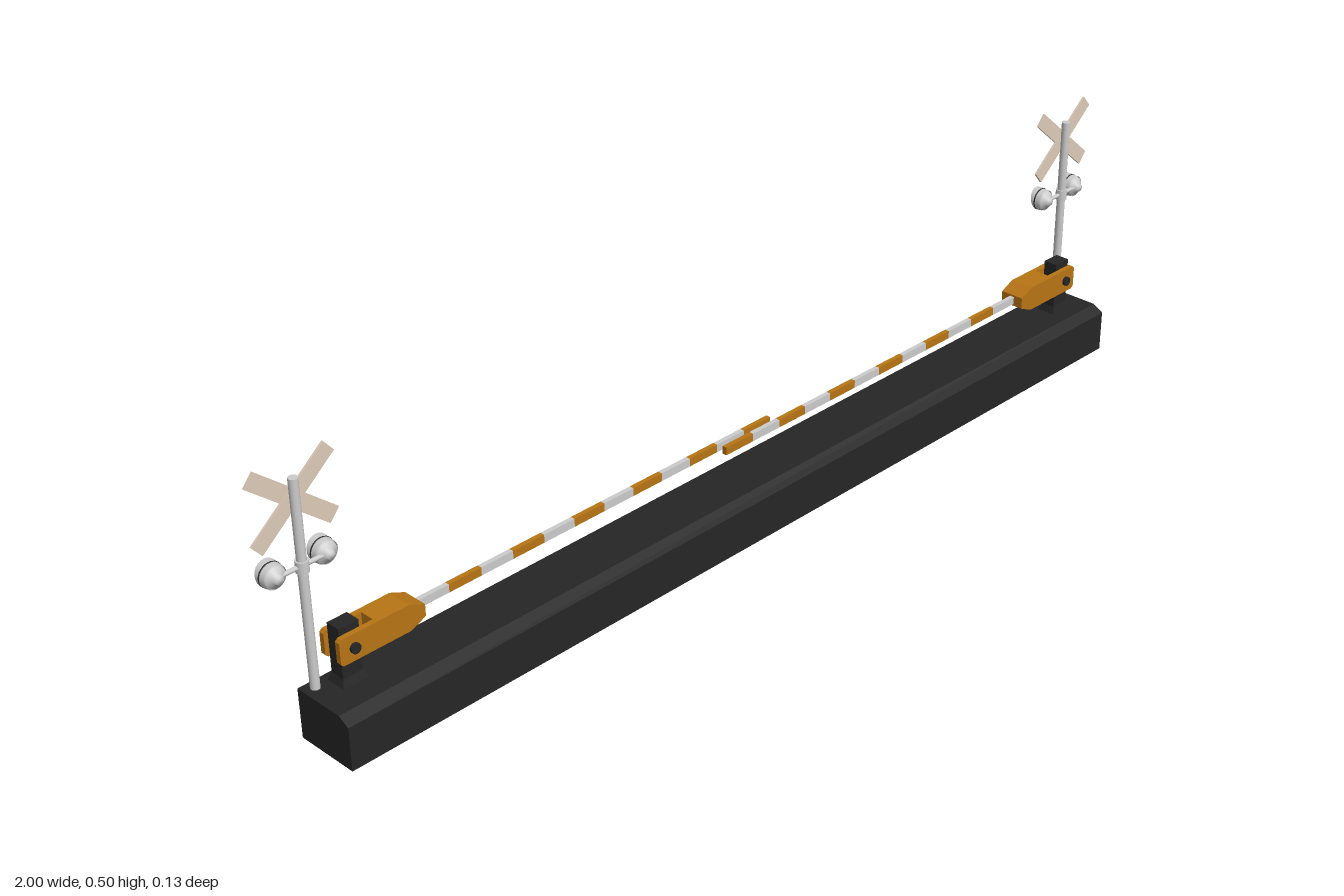
import * as THREE from 'three';

const mat = (color, side = THREE.FrontSide) => new THREE.MeshStandardMaterial({ color, side });
const dark = mat(0x262626);
const amber = mat(0xb87514);
const grey = mat(0xcccccc);
const greyThin = mat(0xcccccc, THREE.DoubleSide);
const blackThin = mat(0x2a2a2a, THREE.DoubleSide);
const cream = mat(0xdccab8);
const red = mat(0x5a1010);

function add(parent, name, geometry, material, x = 0, y = 0, z = 0) {
  const mesh = new THREE.Mesh(geometry, material);
  mesh.name = name;
  mesh.position.set(x, y, z);
  parent.add(mesh);
  return mesh;
}

// Extrude an outline, centred on its depth
function slab(points, depth) {
  const shape = new THREE.Shape(points.map(([x, y]) => new THREE.Vector2(x, y)));
  return new THREE.ExtrudeGeometry(shape, { depth, bevelEnabled: false }).translate(0, 0, -depth / 2);
}

const zCylinder = (r, length, sides = 20) =>
  new THREE.CylinderGeometry(r, r, length, sides).rotateX(Math.PI / 2);

// Flashing lamp, shining towards -z
function createLamp() {
  const lamp = new THREE.Group();
  lamp.name = 'lamp';
  const housing = [[0, 0.013], [0.007, 0.012], [0.009, 0.006], [0.018, 0.002], [0.02, -0.004], [0.02, -0.012]]
    .map(([r, y]) => new THREE.Vector2(r, y));
  add(lamp, 'lampHousing', new THREE.LatheGeometry(housing, 24).rotateX(Math.PI / 2), greyThin);
  add(lamp, 'lampRim', new THREE.TorusGeometry(0.02, 0.002, 8, 24), blackThin, 0, 0, -0.012);
  const lens = new THREE.SphereGeometry(0.019, 20, 6, 0, Math.PI * 2, 0, Math.PI / 2);
  add(lamp, 'lens', lens.rotateX(-Math.PI / 2).scale(1, 1, 0.3), red, 0, 0, -0.011);

  // Visor: a tube whose lower edge is cut back
  const visor = new THREE.CylinderGeometry(0.022, 0.0205, 1, 24, 1, true).rotateX(-Math.PI / 2);
  const p = visor.attributes.position;
  for (let i = 0; i < p.count; i++) {
    const outer = p.getZ(i) < 0;
    p.setZ(i, outer ? -0.015 - 0.01 * Math.max(0, (p.getY(i) + 0.015) / 0.037) : 0);
  }
  visor.computeVertexNormals();
  add(lamp, 'visor', visor, greyThin);
  return lamp;
}

// Post with crossed boards and a pair of lamps
function createSignal() {
  const signal = new THREE.Group();
  signal.name = 'signal';
  add(signal, 'signalPost', new THREE.CylinderGeometry(0.008, 0.008, 0.373, 20), grey, 0, 0.2765, 0);
  for (const s of [-1, 1]) {
    const board = add(signal, 'crossBoard', new THREE.BoxGeometry(0.185, 0.028, 0.004), cream, 0, 0.425, -0.0075 + s * 0.0006);
    board.rotation.z = s * 0.7;
    const lamp = createLamp();
    lamp.position.set(s * 0.047, 0.312, -0.002);
    signal.add(lamp);
  }
  add(signal, 'lampBracket', new THREE.CylinderGeometry(0.004, 0.004, 0.08, 12).rotateZ(Math.PI / 2), grey, 0, 0.312, 0);
  add(signal, 'bracketCollar', new THREE.CylinderGeometry(0.011, 0.011, 0.02, 16), grey, 0, 0.312, 0);
  return signal;
}

// Barrier with its pivot at x = 0 and its arm pointing towards +x
function createGate() {
  const gate = new THREE.Group();
  gate.name = 'gate';

  // Pedestal
  const foot = new THREE.CylinderGeometry(0.7071, 0.92, 1, 4).rotateY(Math.PI / 4).toNonIndexed();
  foot.computeVertexNormals();
  add(gate, 'pedestalFoot', foot.scale(0.038, 0.015, 0.03), dark, 0, 0.0985, 0);
  add(gate, 'pedestal', new THREE.BoxGeometry(0.038, 0.094, 0.028), dark, 0, 0.15, 0);

  // Forked arm holder
  const y = 0.16, h = 0.024;
  const cheek = [[-0.027, -h + 0.005], [-0.022, -h], [0.108, -h], [0.138, -0.011],
    [0.138, 0.011], [0.108, h], [-0.022, h], [-0.027, h - 0.005]];
  for (const s of [-1, 1]) {
    add(gate, 'holderCheek', slab(cheek, 0.01), amber, 0, y, s * 0.019);
    add(gate, 'pivotBolt', zCylinder(0.009, 0.006), dark, 0, y, s * 0.027);
  }
  const core = [[0.045, -h], [0.108, -h], [0.138, -0.011], [0.138, 0.011], [0.108, h], [0.045, h]];
  add(gate, 'holderCore', slab(core, 0.028), amber, 0, y, 0);

  // Striped arm
  const count = 12, start = 0.135, step = (0.935 - start) / count;
  for (let i = 0; i < count; i++) {
    add(gate, 'armStripe', new THREE.BoxGeometry(step, 0.015, 0.009), i % 2 ? amber : grey,
      start + (i + 0.5) * step, y, 0);
  }
  return gate;
}

export function createModel() {
  const model = new THREE.Group();
  model.name = 'levelCrossingBarrier';

  // Long plinth with a chamfered front edge
  const section = [[-0.066, 0], [0.056, 0], [0.056, 0.092], [-0.045, 0.092], [-0.066, 0.08]];
  add(model, 'plinth', slab(section, 1.88).rotateY(Math.PI / 2), dark);

  for (const s of [-1, 1]) {
    const signal = createSignal();
    signal.position.set(s * 0.92, 0, -0.038);
    model.add(signal);

    const gate = createGate();
    gate.position.set(s * 0.87, 0, s < 0 ? -0.022 : -0.003);
    if (s > 0) gate.rotation.y = Math.PI;
    model.add(gate);
  }
  return model;
}
